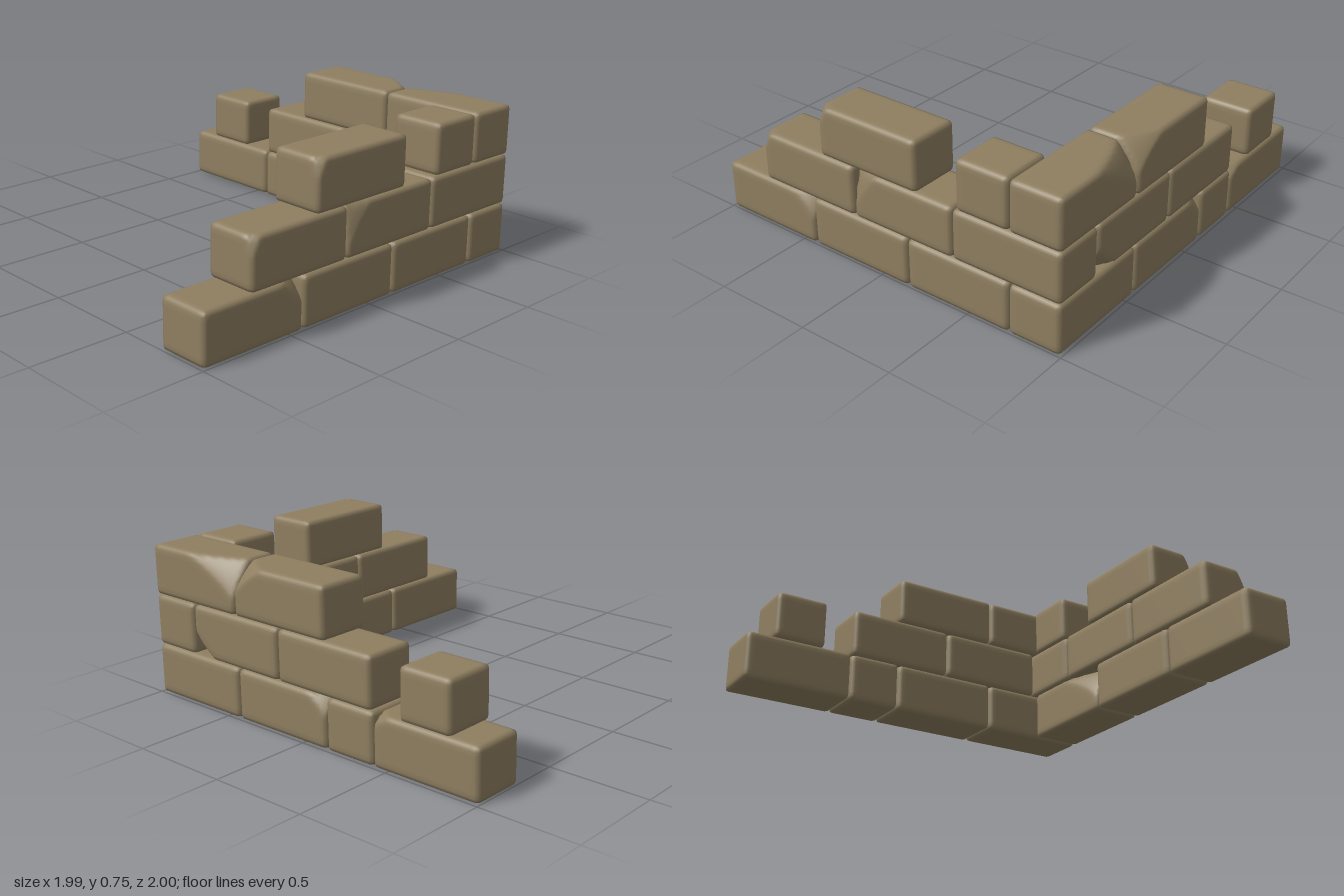
import * as THREE from 'three';
import { mergeVertices } from 'three/addons/utils/BufferGeometryUtils.js';

const BEVEL = 0.02;
const CHIP_POWER = 0.8; // below 1 makes the chipped corners bulge softly

// Box with softened edges; chips are { corner: [sx, sy, sz], size: [a, b, c] }
function brickGeometry(size, chips) {
  const segments = size.map(s => Math.max(10, Math.round(s / 0.022)));
  let geo = new THREE.BoxGeometry(...size, ...segments);
  geo.deleteAttribute('uv');
  geo.deleteAttribute('normal');
  geo = mergeVertices(geo, 1e-5);
  const half = new THREE.Vector3(...size).multiplyScalar(0.5);
  const inner = half.clone().subScalar(BEVEL);
  const pos = geo.attributes.position;
  const p = new THREE.Vector3();
  const q = new THREE.Vector3();
  for (let i = 0; i < pos.count; i++) {
    p.fromBufferAttribute(pos, i);
    q.copy(p).clamp(inner.clone().negate(), inner);
    p.sub(q).setLength(BEVEL).add(q);
    for (const chip of chips) cutCorner(p, half, chip);
    pos.setXYZ(i, p.x, p.y, p.z);
  }
  geo.computeVertexNormals();
  return geo;
}

// Push a point diagonally inward until it lies on the chipped surface
function cutCorner(p, half, { corner, size }) {
  const h = half.toArray();
  const d = p.toArray().map((v, k) => Math.max(0, (h[k] - corner[k] * v) / size[k]));
  const level = t => d.reduce((sum, v) => sum + Math.pow(v + t, CHIP_POWER), 0);
  if (level(0) >= 1) return;
  let lo = 0;
  let hi = 1;
  for (let n = 0; n < 20; n++) {
    const mid = (lo + hi) / 2;
    if (level(mid) < 1) lo = mid; else hi = mid;
  }
  p.set(...d.map((v, k) => corner[k] * (h[k] - (v + hi) * size[k])));
}

const chip = (corner, size) => ({ corner, size });

export function createModel() {
  const model = new THREE.Group();
  const stone = new THREE.MeshStandardMaterial({ color: 0x8f7f61 });
  stone.name = 'sandy stone';

  const rowHeight = 0.2525;
  const brickHeight = 0.25;
  const depth = 0.266;

  // Bricks as [row, start, end, chips], running along x
  const frontBricks = [
    [0, -0.995, -0.426, [chip([1, 1, 1], [0.16, 0.14, 0.12])]],
    [0, -0.42, 0.154, []],
    [0, 0.16, 0.72, [chip([-1, 1, -1], [0.34, 0.2, 0.12])]],
    [1, -0.73, -0.157, [chip([-1, 1, 1], [0.06, 0.14, 0.07])]],
    [1, -0.151, 0.416, [chip([-1, 1, 1], [0.17, 0.24, 0.06])]],
    [1, 0.421, 0.992, []],
    [2, -0.348, 0.223, [chip([-1, 1, 1], [0.06, 0.14, 0.07])]],
    [2, 0.445, 0.72, []],
  ];
  // Bricks running along z
  const sideBricks = [
    [0, 0.431, 0.998, []],
    [0, -0.141, 0.425, [chip([1, 1, -1], [0.1, 0.12, 0.15])]],
    [0, -0.42, -0.147, []],
    [0, -1, -0.425, [chip([1, 1, 1], [0.09, 0.07, 0.12])]],
    [1, 0.159, 0.724, [chip([1, -1, 1], [0.12, 0.15, 0.17])]],
    [1, -0.412, 0.153, []],
    [1, -0.852, -0.576, []],
    [2, 0.437, 0.998, [chip([1, 1, -1], [0.13, 0.2, 0.38])]],
    [2, -0.141, 0.431, [chip([1, 1, 1], [0.15, 0.16, 0.22])]],
  ];

  const buildWall = (name, bricks, alongX) => {
    const wall = new THREE.Group();
    wall.name = name;
    bricks.forEach(([row, start, end, chips], i) => {
      const length = end - start;
      const middle = (start + end) / 2;
      const y = row * rowHeight + brickHeight / 2;
      const size = alongX ? [length, brickHeight, depth] : [depth, brickHeight, length];
      const brick = new THREE.Mesh(brickGeometry(size, chips), stone);
      if (alongX) brick.position.set(middle, y, 0.864);
      else brick.position.set(0.859, y, middle);
      brick.name = `${name}Brick${i + 1}`;
      wall.add(brick);
    });
    model.add(wall);
  };
  buildWall('frontWall', frontBricks, true);
  buildWall('sideWall', sideBricks, false);
  return model;
}
